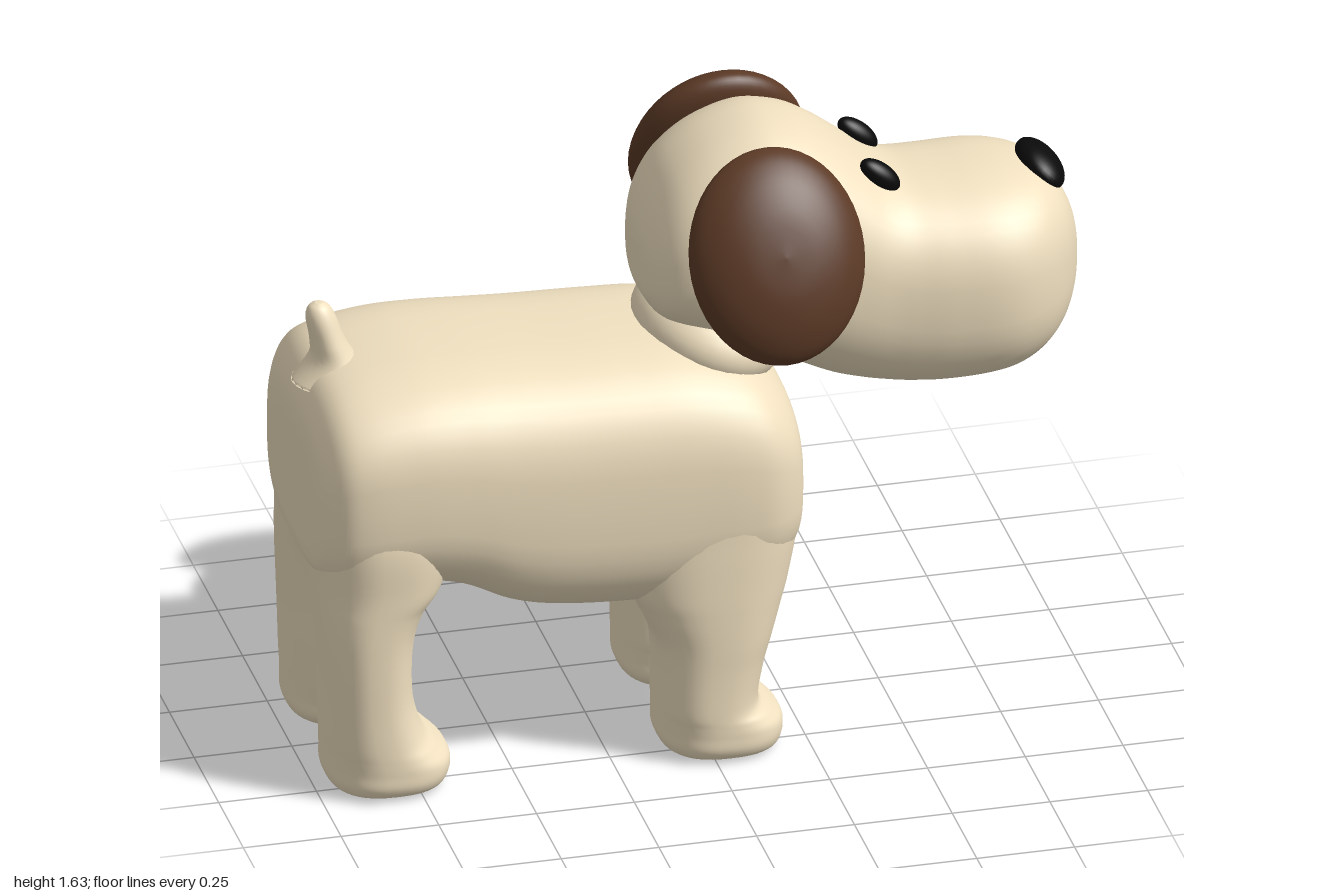
import * as THREE from 'three';

const tan = new THREE.MeshStandardMaterial({ color: 0xf0e0c0 });
const brown = new THREE.MeshStandardMaterial({ color: 0x5c3a26 });
const black = new THREE.MeshStandardMaterial({ color: 0x0a0a0a });

// Smooth closed skin over superellipse stations [t, aMin, aMax, bMin, bMax].
// Axis 'x': t, a, b = x, y, z.  Axis 'y': t, a, b = y, z, x.
function loft(axis, stations, power, steps = 6, sides = 48) {
  const pos = [], index = [];
  const put = (t, a, b) => (axis === 'x' ? pos.push(t, a, b) : pos.push(b, t, a));
  const last = stations.length - 1;
  const at = (k) => stations[Math.min(Math.max(k, 0), last)];
  const sample = (u) => {
    const k = Math.min(Math.floor(u), last - 1), f = u - k;
    return at(k).map((p1, c) => {
      const p0 = at(k - 1)[c], p2 = at(k + 1)[c], p3 = at(k + 2)[c];
      const m1 = (p2 - p0) / 2, m2 = (p3 - p1) / 2;
      return p1 + f * (m1 + f * (3 * (p2 - p1) - 2 * m1 - m2 + f * (2 * (p1 - p2) + m1 + m2)));
    });
  };
  const bend = (v) => Math.sign(v) * Math.pow(Math.abs(v), 2 / power);
  const rings = last * steps + 1;
  for (let i = 0; i < rings; i++) {
    const [t, a0, a1, b0, b1] = sample(i / steps);
    for (let j = 0; j < sides; j++) {
      const q = (j / sides) * Math.PI * 2;
      put(t, (a0 + a1) / 2 + ((a1 - a0) / 2) * bend(Math.cos(q)),
        (b0 + b1) / 2 + ((b1 - b0) / 2) * bend(Math.sin(q)));
    }
  }
  for (let i = 0; i < rings - 1; i++) {
    for (let j = 0; j < sides; j++) {
      const k = (j + 1) % sides, p = i * sides, n = p + sides;
      index.push(p + j, p + k, n + j, p + k, n + k, n + j);
    }
  }
  // end caps
  for (const [s, p] of [[stations[0], 0], [stations[last], (rings - 1) * sides]]) {
    const c = pos.length / 3;
    put(s[0], (s[1] + s[2]) / 2, (s[3] + s[4]) / 2);
    for (let j = 0; j < sides; j++) {
      const k = (j + 1) % sides;
      if (p === 0) index.push(c, p + k, p + j);
      else index.push(c, p + j, p + k);
    }
  }
  const g = new THREE.BufferGeometry();
  g.setAttribute('position', new THREE.Float32BufferAttribute(pos, 3));
  g.setIndex(index);
  g.computeVertexNormals();
  return g;
}

export function createModel() {
  const dog = new THREE.Group();
  dog.name = 'dog';
  const add = (name, geometry, material) => {
    const m = new THREE.Mesh(geometry, material);
    m.name = name;
    dog.add(m);
    return m;
  };
  const ellipsoid = (name, material, p, r, tilt = 0) => {
    const m = add(name, new THREE.SphereGeometry(1, 32, 20), material);
    m.position.set(...p);
    m.scale.set(...r);
    m.rotation.z = tilt;
    return m;
  };
  // stations symmetric in z: [x, yMin, yMax, halfWidth]
  const symmetric = (list) => list.map(([x, y0, y1, w]) => [x, y0, y1, -w, w]);

  // torso
  add('torso', loft('x', symmetric([
    [-1.0, 0.62, 0.9, 0.22], [-0.99, 0.57, 0.98, 0.29], [-0.95, 0.54, 1.05, 0.35],
    [-0.88, 0.53, 1.085, 0.373], [-0.75, 0.53, 1.105, 0.38], [-0.62, 0.5, 1.108, 0.38],
    [-0.5, 0.44, 1.105, 0.38], [-0.38, 0.41, 1.1, 0.38], [-0.2, 0.395, 1.095, 0.378],
    [-0.05, 0.4, 1.085, 0.375], [0.08, 0.42, 1.05, 0.37], [0.16, 0.45, 1.0, 0.355],
    [0.22, 0.5, 0.93, 0.31], [0.245, 0.56, 0.86, 0.25], [0.252, 0.62, 0.79, 0.16],
  ]), 3), tan);

  // legs: [y, zInner, zOuter, xBack, xFront]
  const frontLeg = [
    [0, 0.12, 0.28, -0.03, 0.12], [0.008, 0.06, 0.345, -0.1, 0.175], [0.035, 0.035, 0.368, -0.122, 0.192],
    [0.075, 0.035, 0.37, -0.125, 0.192], [0.105, 0.037, 0.37, -0.125, 0.165], [0.14, 0.038, 0.37, -0.125, 0.13],
    [0.24, 0.038, 0.37, -0.126, 0.145], [0.32, 0.035, 0.372, -0.135, 0.168], [0.4, 0.02, 0.373, -0.17, 0.192],
    [0.47, 0.0, 0.373, -0.2, 0.213], [0.6, -0.03, 0.37, -0.21, 0.24], [0.75, -0.04, 0.36, -0.18, 0.245],
    [0.88, 0.0, 0.31, -0.1, 0.2],
  ];
  const hindLeg = [
    [0, 0.12, 0.28, -0.88, -0.73], [0.008, 0.06, 0.345, -0.95, -0.68], [0.035, 0.03, 0.368, -0.97, -0.66],
    [0.075, 0.028, 0.37, -0.972, -0.658], [0.11, 0.028, 0.37, -0.972, -0.69], [0.15, 0.03, 0.37, -0.973, -0.725],
    [0.24, 0.03, 0.37, -0.975, -0.752], [0.34, 0.03, 0.372, -0.978, -0.757], [0.43, 0.025, 0.373, -0.982, -0.748],
    [0.5, 0.01, 0.373, -0.985, -0.72], [0.57, -0.02, 0.373, -0.988, -0.67], [0.72, -0.04, 0.37, -0.992, -0.65],
    [0.88, 0.0, 0.32, -0.975, -0.7],
  ];
  for (const [side, s] of [['left', 1], ['right', -1]]) {
    const place = (leg) => leg.map(([y, zi, zo, x0, x1]) =>
      [y, s > 0 ? zi : -zo, s > 0 ? zo : -zi, x0, x1]);
    add(side + 'FrontLeg', loft('y', place(frontLeg), 2.5), tan);
    add(side + 'HindLeg', loft('y', place(hindLeg), 2.5), tan);
  }

  // neck and tail
  ellipsoid('neck', tan, [0.06, 1.05, 0], [0.19, 0.13, 0.24], -0.3);
  add('tail', loft('y', [
    [1.02, -0.1, 0.1, -1.0, -0.78], [1.08, -0.075, 0.07, -0.955, -0.835], [1.13, -0.062, 0.056, -0.953, -0.865],
    [1.19, -0.047, 0.04, -0.963, -0.887], [1.22, -0.03, 0.025, -0.957, -0.903], [1.232, -0.012, 0.008, -0.94, -0.92],
  ], 2, 6, 24), tan);

  // head: cranium running into a broad muzzle
  add('head', loft('x', symmetric([
    [-0.123, 1.2, 1.3, 0.06], [-0.115, 1.17, 1.36, 0.13], [-0.085, 1.13, 1.44, 0.2],
    [-0.03, 1.1, 1.52, 0.24], [0.06, 1.06, 1.585, 0.265], [0.17, 1.01, 1.618, 0.28],
    [0.27, 0.96, 1.603, 0.282], [0.35, 0.922, 1.56, 0.28], [0.42, 0.9, 1.508, 0.278],
    [0.48, 0.888, 1.462, 0.278], [0.54, 0.88, 1.436, 0.283], [0.63, 0.875, 1.429, 0.293],
    [0.74, 0.88, 1.428, 0.298], [0.82, 0.895, 1.42, 0.282], [0.89, 0.928, 1.4, 0.24],
    [0.945, 0.98, 1.355, 0.175], [0.98, 1.045, 1.29, 0.105], [0.997, 1.11, 1.22, 0.045],
  ]), 2.5), tan);

  // ears: domed discs leaning outwards
  const earProfile = [[0, -0.065], [0.12, -0.06], [0.21, -0.045], [0.255, -0.025], [0.272, 0],
    [0.265, 0.025], [0.235, 0.055], [0.18, 0.085], [0.1, 0.107], [0, 0.115]];
  const earCurve = new THREE.SplineCurve(earProfile.map(([r, h]) => new THREE.Vector2(r, h)));
  const earPoints = earCurve.getPoints(36).map((p) => new THREE.Vector2(Math.max(p.x, 0), p.y));
  for (const [side, s] of [['left', 1], ['right', -1]]) {
    const ear = add(side + 'Ear', new THREE.LatheGeometry(earPoints, 48), brown);
    ear.position.set(0.163, 1.375, 0.303 * s);
    ear.scale.x = 0.82;
    ear.rotation.x = 1.15 * s;
    ellipsoid(side + 'Eye', black, [0.476, 1.468, 0.115 * s], [0.062, 0.03, 0.034], -0.72);
  }

  // nose
  ellipsoid('nose', black, [0.915, 1.382, -0.008], [0.07, 0.043, 0.1], -0.75);

  return dog;
}
